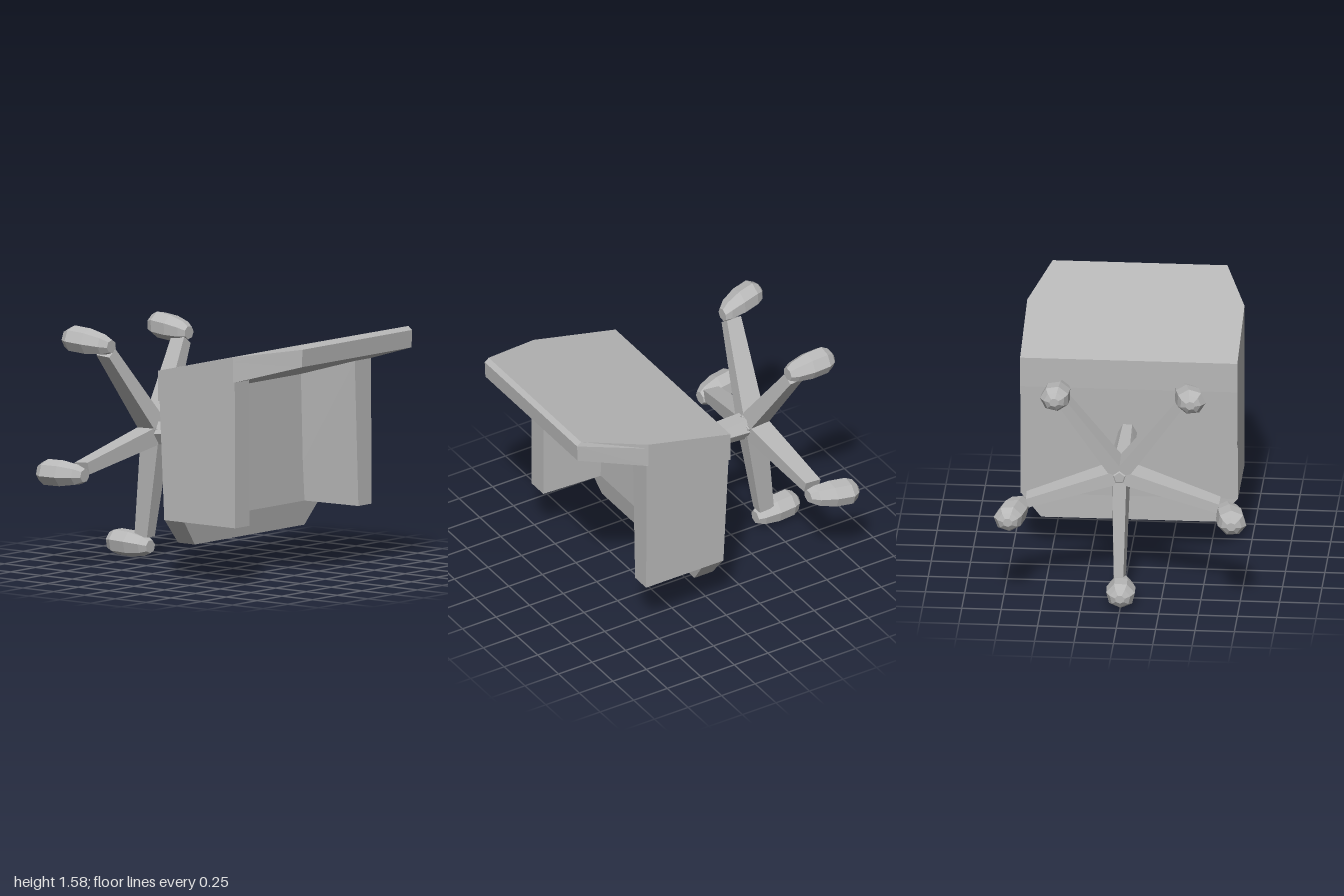
import * as THREE from 'three';

const grey = new THREE.MeshStandardMaterial({ color: 0xb8b8b8, flatShading: true });
grey.name = 'grey';

// Closed faceted solid through equal-length loops of [x, y, z] points
function loft(name, loops) {
  const n = loops[0].length, tris = [];
  const first = loops[0], last = loops[loops.length - 1];
  for (let i = 0; i < loops.length - 1; i++) {
    for (let j = 0; j < n; j++) {
      const k = (j + 1) % n;
      const a = loops[i][j], b = loops[i][k], c = loops[i + 1][k], d = loops[i + 1][j];
      tris.push([a, b, c], [a, c, d]);
    }
  }
  for (let j = 1; j < n - 1; j++) {
    tris.push([first[0], first[j + 1], first[j]], [last[0], last[j], last[j + 1]]);
  }
  // Turn the faces outward whichever way the loops run
  let volume = 0;
  for (const [a, b, c] of tris) {
    volume += new THREE.Vector3(...a).dot(new THREE.Vector3(...b).cross(new THREE.Vector3(...c)));
  }
  if (volume < 0) tris.forEach((t) => t.reverse());
  const geometry = new THREE.BufferGeometry();
  geometry.setAttribute('position', new THREE.Float32BufferAttribute(tris.flat(2), 3));
  geometry.computeVertexNormals();
  const mesh = new THREE.Mesh(geometry, grey);
  mesh.name = name;
  return mesh;
}

// Tapered oval ring in the xy plane
function ring(cx, cy, z, rx, ry, sides, turn = 0) {
  return Array.from({ length: sides }, (_, i) => {
    const a = turn + (i / sides) * Math.PI * 2;
    return [cx + rx * Math.cos(a), cy + ry * Math.sin(a), z];
  });
}

// Sloping backrest with tapered end and softened top edge
function backrest() {
  const outline = (end) => [[-0.68, -0.062], [0.7, -0.062], [0.7, 0.55], [0.57, end], [-0.54, end], [-0.68, 0.55]];
  const under = (z) => 1.2 + (z - 0.13) * 0.283;
  const over = (z) => 1.342 + (z + 0.06) * 0.231;
  return loft('backrest', [
    outline(0.995).map(([x, z]) => [x, under(z), z]),
    outline(1.0).map(([x, z]) => [x, over(z) - 0.03, z]),
    outline(0.97).map(([x, z]) => [x, over(z), z]),
  ]);
}

// Seat slab with chamfered front corners
function seat() {
  const outline = [[-0.677, 0.39], [-0.54, 0.23], [0.57, 0.23], [0.697, 0.39], [0.697, 1.3], [-0.677, 1.3]];
  const backZ = (y) => -0.01 - 0.05 * Math.max(0, (y - 0.39) / 0.95);
  const frontZ = (y) => (y < 0.3 ? 0.125 : y < 1 ? 0.15 : 0.125);
  return loft('seat', [
    outline.map(([x, y]) => [x, y, backZ(y)]),
    outline.map(([x, y]) => [x, y, frontZ(y)]),
  ]);
}

// Solid side panel; inner values are the inside x at bottom and top
function armrest(name, outer, innerBottom, innerTop, innerSeat) {
  return loft(name, [
    [[outer, 0.39, -0.01], [innerSeat, 0.39, -0.01], [innerSeat, 1.32, -0.056], [outer, 1.32, -0.056]],
    [[outer, 0.39, 0.566], [innerBottom, 0.39, 0.566], [innerTop, 1.324, 0.562], [outer, 1.324, 0.562]],
  ]);
}

const hub = [0.02, 0.82];

// Flat tapered spoke from hub to a caster
function spoke(x, y) {
  const dx = x - hub[0], dy = y - hub[1], len = Math.hypot(dx, dy);
  const nx = -dy / len, ny = dx / len;
  const section = (cx, cy, front, back, wFront, wBack) => [
    [cx - nx * wFront, cy - ny * wFront, front], [cx + nx * wFront, cy + ny * wFront, front],
    [cx + nx * wBack, cy + ny * wBack, back], [cx - nx * wBack, cy - ny * wBack, back],
  ];
  return loft('spoke', [
    section(hub[0], hub[1], -0.565, -0.725, 0.06, 0.045),
    section(x, y, -0.68, -0.79, 0.04, 0.03),
  ]);
}

// Faceted caster that leans from its neck to its rounded far end
function caster(neck, far, turn) {
  const steps = [[-0.675, 0.045, 0], [-0.72, 0.07, 0.25], [-0.82, 0.09, 0.65], [-0.93, 0.09, 1], [-0.975, 0.065, 1], [-0.997, 0.03, 1]];
  return loft('caster', steps.map(([z, r, t]) => ring(
    THREE.MathUtils.lerp(neck[0], far[0], t), THREE.MathUtils.lerp(neck[1], far[1], t), z, r * 1.04, r * 0.95, 7, turn)));
}

export function createModel() {
  const group = new THREE.Group();
  group.name = 'reclinedOfficeChair';
  group.add(backrest(), seat());
  group.add(armrest('rightArmrest', -0.68, -0.535, -0.535, -0.51));
  group.add(armrest('leftArmrest', 0.7, 0.567, 0.535, 0.53));

  // Post and hub
  group.add(loft('post', [
    ring(0.02, 0.84, -0.01, 0.058, 0.062, 6),
    ring(0.015, 0.82, -0.6, 0.09, 0.085, 6),
  ]));
  group.add(loft('hub', [
    ring(0.02, 0.82, -0.565, 0.085, 0.085, 5, Math.PI / 2),
    ring(0.02, 0.82, -0.70, 0.08, 0.08, 5, Math.PI / 2),
    ring(0.02, 0.82, -0.735, 0.035, 0.035, 5, Math.PI / 2),
  ]));

  // Five-spoke base: spoke end, caster neck, caster far end
  const legs = [
    [[0.02, 0.14], [0.01, 0.08], [-0.003, 0.095]],
    [[-0.61, 0.65], [-0.655, 0.61], [-0.71, 0.615]],
    [[0.6, 0.65], [0.645, 0.61], [0.71, 0.6]],
    [[-0.37, 1.36], [-0.385, 1.405], [-0.45, 1.44]],
    [[0.39, 1.36], [0.4, 1.405], [0.415, 1.435]],
  ];
  legs.forEach(([end, neck, far], i) => {
    const leg = new THREE.Group();
    leg.name = 'baseLeg' + (i + 1);
    leg.add(spoke(...end), caster(neck, far, -Math.PI / 2 + i * 0.4));
    group.add(leg);
  });
  return group;
}
